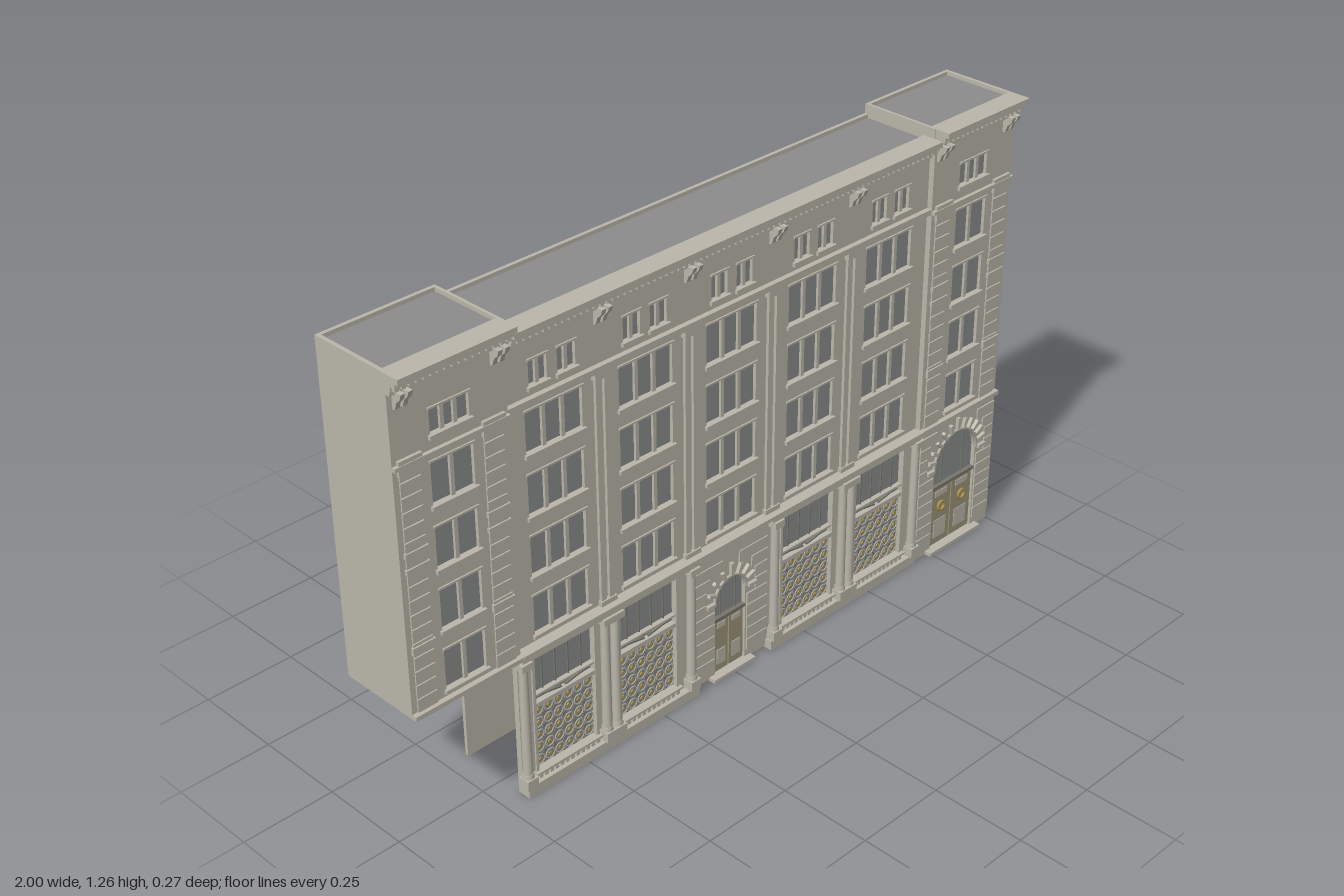
import * as THREE from 'three';
import { mergeGeometries } from 'three/addons/utils/BufferGeometryUtils.js';

const mat = (name, color) => Object.assign(new THREE.MeshStandardMaterial({ color }), { name });

export function createModel() {
  const stone = mat('stone', 0xbab6aa);
  const roofGrey = mat('roofGrey', 0x8c8c8c);
  const glass = mat('glass', 0x8b8e8c);
  const wood = mat('doorBronze', 0x9c9478);
  const gold = mat('gold', 0xb0954c);
  const iron = mat('iron', 0x77766c);

  const model = new THREE.Group();
  model.name = 'cityBlock';
  const ZC = 0.075, ZW = 0.09, BACK = -0.135; // front planes of centre and wings, rear plane

  // Collects the pieces of each part and merges them into one mesh per name
  const parts = new Map();
  function put(name, material, geo) {
    if (!parts.has(name)) parts.set(name, { material, list: [] });
    parts.get(name).list.push(geo.index ? geo.toNonIndexed() : geo);
  }
  function box(name, m, x0, x1, y0, y1, z0, z1) {
    const g = new THREE.BoxGeometry(x1 - x0, y1 - y0, z1 - z0);
    put(name, m, g.translate((x0 + x1) / 2, (y0 + y1) / 2, (z0 + z1) / 2));
  }
  const poly = (pts) => new THREE.Shape(pts.map(([x, y]) => new THREE.Vector2(x, y)));
  const rect = (x0, x1, y0, y1) => poly([[x0, y0], [x1, y0], [x1, y1], [x0, y1]]);
  function arch(cx, r, y0, spring) {
    const s = new THREE.Shape();
    s.moveTo(cx - r, y0);
    s.lineTo(cx + r, y0);
    s.lineTo(cx + r, spring);
    s.absarc(cx, spring, r, 0, Math.PI, false);
    s.closePath();
    return s;
  }
  function plate(name, m, shape, zFront, depth) {
    const g = new THREE.ExtrudeGeometry(shape, { depth, bevelEnabled: false, curveSegments: 20 });
    put(name, m, g.translate(0, 0, zFront - depth));
  }

  // Facade walls, pierced by the openings added below
  const walls = {
    centre: { z: ZC, shape: rect(-0.69, 0.69, 0.005, 1.215) },
    left: { z: ZW, shape: rect(-1, -0.69, 0.4, 1.24) },
    right: { z: ZW, shape: rect(0.69, 1, 0, 1.24) },
  };

  // Window: opening, glass, frame, mullions, sill and lintel
  function windowAt(wall, cx, w, y0, y1, panes) {
    const { z, shape } = walls[wall], x0 = cx - w / 2, x1 = cx + w / 2;
    shape.holes.push(rect(x0, x1, y0, y1));
    box('windowGlass', glass, x0, x1, y0, y1, z - 0.014, z - 0.009);
    for (let i = 1; i < panes; i++) {
      const x = x0 + (w * i) / panes;
      box('windowMullions', stone, x - 0.005, x + 0.005, y0, y1, z - 0.012, z - 0.002);
    }
    box('windowSills', stone, x0 - 0.006, x1 + 0.006, y0 - 0.01, y0, z - 0.01, z + 0.008);
    box('windowLintels', stone, x0 - 0.004, x1 + 0.004, y1, y1 + 0.005, z - 0.01, z + 0.004);
  }
  const bays = [-0.55, -0.275, 0, 0.275, 0.55];
  for (const y of [0.43, 0.588, 0.746, 0.905]) {
    for (const x of bays) windowAt('centre', x, 0.165, y, y + 0.105, 3);
    windowAt('left', -0.845, 0.115, y, y + 0.105, 2);
    windowAt('right', 0.845, 0.115, y, y + 0.105, 2);
  }
  for (const x of bays) for (const s of [-1, 1]) windowAt('centre', x + s * 0.041, 0.052, 1.068, 1.13, 2);
  windowAt('left', -0.845, 0.105, 1.075, 1.135, 3);
  windowAt('right', 0.845, 0.105, 1.075, 1.135, 3);

  // Shop fronts: tall glazing above, ornamental grille below
  for (const cx of [-0.55, -0.283, 0.275, 0.55]) {
    const x0 = cx - 0.1, x1 = cx + 0.1, z = ZC;
    walls.centre.shape.holes.push(rect(x0, x1, 0.045, 0.375));
    box('shopGlass', glass, x0, x1, 0.045, 0.375, z - 0.015, z - 0.011);
    for (let i = 1; i < 5; i++) {
      const x = x0 + i * 0.04;
      box('shopMullions', iron, x - 0.0015, x + 0.0015, 0.26, 0.375, z - 0.012, z - 0.007);
    }
    box('shopTransom', stone, x0, x1, 0.228, 0.24, z - 0.012, z + 0.004);
    box('shopTransom', stone, x0, x1, 0.258, 0.264, z - 0.012, z + 0.002);
    for (const s of [-1, 1]) {
      const g = new THREE.BoxGeometry(0.09, 0.004, 0.006).rotateZ(s * 0.17);
      put('shopTransomBraces', iron, g.translate(cx + s * 0.05, 0.249, z - 0.006));
      const xe = cx + s * 0.096;
      box('shopFrame', stone, xe - 0.004, xe + 0.004, 0.045, 0.375, z - 0.012, z + 0.005);
    }
    for (let i = 0; i < 6; i++) for (let j = 0; j < 5; j++) {
      const x = cx + (i - 2.5) * 0.031, y = 0.066 + j * 0.036;
      put('grilleRings', stone, new THREE.TorusGeometry(0.0135, 0.0022, 4, 12).translate(x, y, z - 0.007));
      put('grilleRosettes', gold, new THREE.CylinderGeometry(0.005, 0.005, 0.004, 8).rotateX(Math.PI / 2).translate(x, y, z - 0.007));
      for (const s of [-1, 1]) {
        const bar = new THREE.BoxGeometry(0.046, 0.002, 0.002).rotateZ(s * 0.86);
        put('grilleBars', iron, bar.translate(x, y, z - 0.009));
      }
    }
    // Baluster strip below the shop front
    box('shopSill', stone, x0 - 0.005, x1 + 0.005, 0.041, 0.047, z - 0.01, z + 0.014);
    for (let i = 0; i < 12; i++) {
      const x = x0 + 0.009 + i * 0.0165;
      box('shopBalusters', stone, x - 0.005, x + 0.005, 0.028, 0.041, z, z + 0.011);
    }
  }

  // Arched entrances with doors, radiating arch stones and coursed masonry
  function entrance(wall, cx, r, spring, doorTop, xa, xb, stones) {
    const { z, shape } = walls[wall];
    shape.holes.push(arch(cx, r, 0.01, spring));
    plate('entranceGlass', glass, arch(cx, r, 0.01, spring), z - 0.012, 0.004);
    box('entranceLintel', iron, cx - r, cx + r, doorTop, doorTop + 0.009, z - 0.012, z);
    for (const s of [-1, 1]) {
      const c = cx + (s * r) / 2, h = r / 2 - 0.002;
      box('doorLeaves', wood, c - h, c + h, 0.01, doorTop, z - 0.012, z - 0.006);
      box('doorPanels', stone, c - h * 0.6, c + h * 0.6, 0.03, doorTop * 0.45, z - 0.007, z - 0.004);
      box('doorPanels', stone, c - h * 0.6, c + h * 0.6, doorTop * 0.85, doorTop * 0.94, z - 0.007, z - 0.004);
      if (r > 0.07) put('doorRings', gold, new THREE.TorusGeometry(0.013, 0.004, 6, 16).translate(c, 0.128, z - 0.003));
      box('fanlightBars', iron, c - 0.001, c + 0.001, doorTop, spring + r * 0.8, z - 0.012, z - 0.008);
    }
    put('archTrim', stone, new THREE.TorusGeometry(r + 0.002, 0.005, 6, 24, Math.PI).translate(cx, spring, z));
    for (let i = 0; i < stones; i++) {
      const a = (Math.PI * i) / (stones - 1), len = i === (stones - 1) / 2 ? 0.036 : 0.028;
      const g = new THREE.BoxGeometry(len, 0.009, 0.016).translate(r + 0.006 + len / 2, 0, 0);
      put('archStones', stone, g.rotateZ(a).translate(cx, spring, z + 0.002));
    }
    for (let y = 0.03; y < 0.37; y += 0.035) {
      const dy = Math.max(0, y - spring), R = r + 0.034;
      const half = y + 0.032 < spring - 0.02 ? r + 0.004 : dy < R ? Math.sqrt(R * R - dy * dy) : 0;
      box('masonryCourses', stone, xa, cx - half, y, y + 0.032, z - 0.004, z + 0.004);
      box('masonryCourses', stone, cx + half, xb, y, y + 0.032, z - 0.004, z + 0.004);
    }
    box('entranceStep', stone, cx - r - 0.02, cx + r + 0.02, 0, 0.01, z - 0.02, z + 0.02);
  }
  entrance('centre', 0, 0.053, 0.228, 0.165, -0.13, 0.13, 9);
  entrance('right', 0.845, 0.085, 0.26, 0.19, 0.695, 0.998, 13);

  for (const [name, w] of Object.entries(walls)) plate(name + 'Facade', stone, w.shape, w.z, 0.016);

  // Hollow shell: rear wall with the raised lower left corner, side walls, roofs
  const rear = poly([[-0.69, 0], [1, 0], [1, 1.26], [0.69, 1.26], [0.69, 1.235], [-0.69, 1.235],
    [-0.69, 1.26], [-1, 1.26], [-1, 0.4], [-0.69, 0.4]]);
  plate('rearWall', stone, rear, BACK + 0.01, 0.01);
  box('leftEndWall', stone, -1, -0.99, 0.4, 1.26, BACK, ZW);
  box('rightEndWall', stone, 0.99, 1, 0, 1.26, BACK, ZW);
  box('centreRoof', roofGrey, -0.69, 0.69, 1.215, 1.225, BACK + 0.01, 0.06);
  for (const s of [-1, 1]) {
    const a = s * 0.69, b = s * 0.99;
    box('wingRoofs', roofGrey, Math.min(a, b), Math.max(a, b), 1.24, 1.25, BACK + 0.01, 0.075);
    box('wingParapets', stone, a - 0.004, a + 0.004, 1.215, 1.26, BACK, ZW);
  }

  // Stepped cornices with a row of dentils
  function cornice(x0, x1, top, z) {
    for (const [lo, hi, out] of [[0.05, 0.039, 0.012], [0.039, 0.026, 0.016], [0.026, 0.014, 0.032], [0.014, 0, 0.042]])
      box('cornice', stone, x0, x1, top - lo, top - hi, z - 0.018, z + out);
    const n = Math.round((x1 - x0) / 0.018), step = (x1 - x0) / n;
    for (let i = 0; i < n; i++) {
      const x = x0 + (i + 0.5) * step;
      box('dentils', stone, x - 0.005, x + 0.005, top - 0.037, top - 0.026, z, z + 0.026);
    }
  }
  cornice(-0.685, 0.685, 1.235, ZC);
  cornice(-1, -0.688, 1.26, ZW);
  cornice(0.688, 1, 1.26, ZW);

  // Paired scroll brackets under the cornices
  function brackets(cx, top, z) {
    const side = poly([[0, 0], [0.008, 0.003], [0.014, 0.02], [0.026, 0.032], [0.03, 0.045], [0, 0.045]]);
    for (const s of [-1, 1]) {
      const g = new THREE.ExtrudeGeometry(side, { depth: 0.012, bevelEnabled: false });
      put('brackets', stone, g.rotateY(-Math.PI / 2).translate(cx + s * 0.01 + 0.006, top - 0.045, z));
    }
  }
  const piers = [-0.4125, -0.1375, 0.1375, 0.4125];
  for (const x of piers) brackets(x, 1.19, ZC);
  for (const s of [-1, 1]) for (const x of [0.715, 0.97]) brackets(s * x, 1.215, ZW);

  // Slim double pilasters between the centre bays
  for (const x of piers) {
    for (const s of [-1, 1]) box('pilasters', stone, x + s * 0.013 - 0.008, x + s * 0.013 + 0.008, 0.41, 1.02, ZC - 0.004, ZC + 0.008);
    box('pilasterCaps', stone, x - 0.027, x + 0.027, 1.012, 1.03, ZC - 0.004, ZC + 0.014);
    box('pilasterBases', stone, x - 0.025, x + 0.025, 0.41, 0.425, ZC - 0.004, ZC + 0.012);
  }

  // Coursed corner strips on both wings
  for (const s of [-1, 1]) for (const c of [0.7325, 0.9575]) {
    const x = s * c;
    for (let y = 0.412; y < 1.0; y += 0.0366) box('cornerStrips', stone, x - 0.0275, x + 0.0275, y, y + 0.0335, ZW - 0.004, ZW + 0.004);
    for (const [lo, hi] of [[0.565, 0.585], [0.772, 0.785], [0.812, 0.825], [1.012, 1.05]])
      box('cornerBands', stone, x - 0.031, x + 0.031, lo, hi, ZW - 0.004, ZW + 0.008);
  }

  // Belt courses
  box('upperBelt', stone, -0.69, 0.69, 1.03, 1.045, ZC - 0.004, ZC + 0.014);
  box('lowerBelt', stone, -0.69, 0.69, 0.402, 0.412, ZC - 0.01, ZC + 0.03);
  for (const [a, b] of [[-1, -0.69], [0.69, 1]]) {
    box('upperBelt', stone, a, b, 1.03, 1.04, ZW - 0.004, ZW + 0.01);
    box('lowerBelt', stone, a, b, 0.4, 0.412, ZW - 0.016, ZW + 0.014);
  }

  // Ground floor columns, their architrave and plinth
  for (const s of [-1, 1]) {
    const a = s * 0.69, b = s * 0.128, x0 = Math.min(a, b), x1 = Math.max(a, b);
    box('architrave', stone, x0, x1, 0.384, 0.402, ZC - 0.004, ZC + 0.022);
    box('plinth', stone, x0, x1, 0, 0.028, ZC - 0.016, ZC + 0.022);
    for (const c of [0.682, 0.43, 0.398, 0.147]) {
      const x = s * c, z = ZC + 0.011;
      put('columns', stone, new THREE.CylinderGeometry(0.011, 0.0125, 0.32, 16).translate(x, 0.215, z));
      put('columnRings', stone, new THREE.CylinderGeometry(0.014, 0.015, 0.012, 16).translate(x, 0.06, z));
      box('columnBases', stone, x - 0.016, x + 0.016, 0.028, 0.055, ZC - 0.004, z + 0.018);
      box('columnCapitals', stone, x - 0.016, x + 0.016, 0.368, 0.386, ZC - 0.004, z + 0.018);
    }
  }

  for (const [name, { material, list }] of parts) {
    const mesh = new THREE.Mesh(mergeGeometries(list), material);
    mesh.name = name;
    model.add(mesh);
  }
  return model;
}
